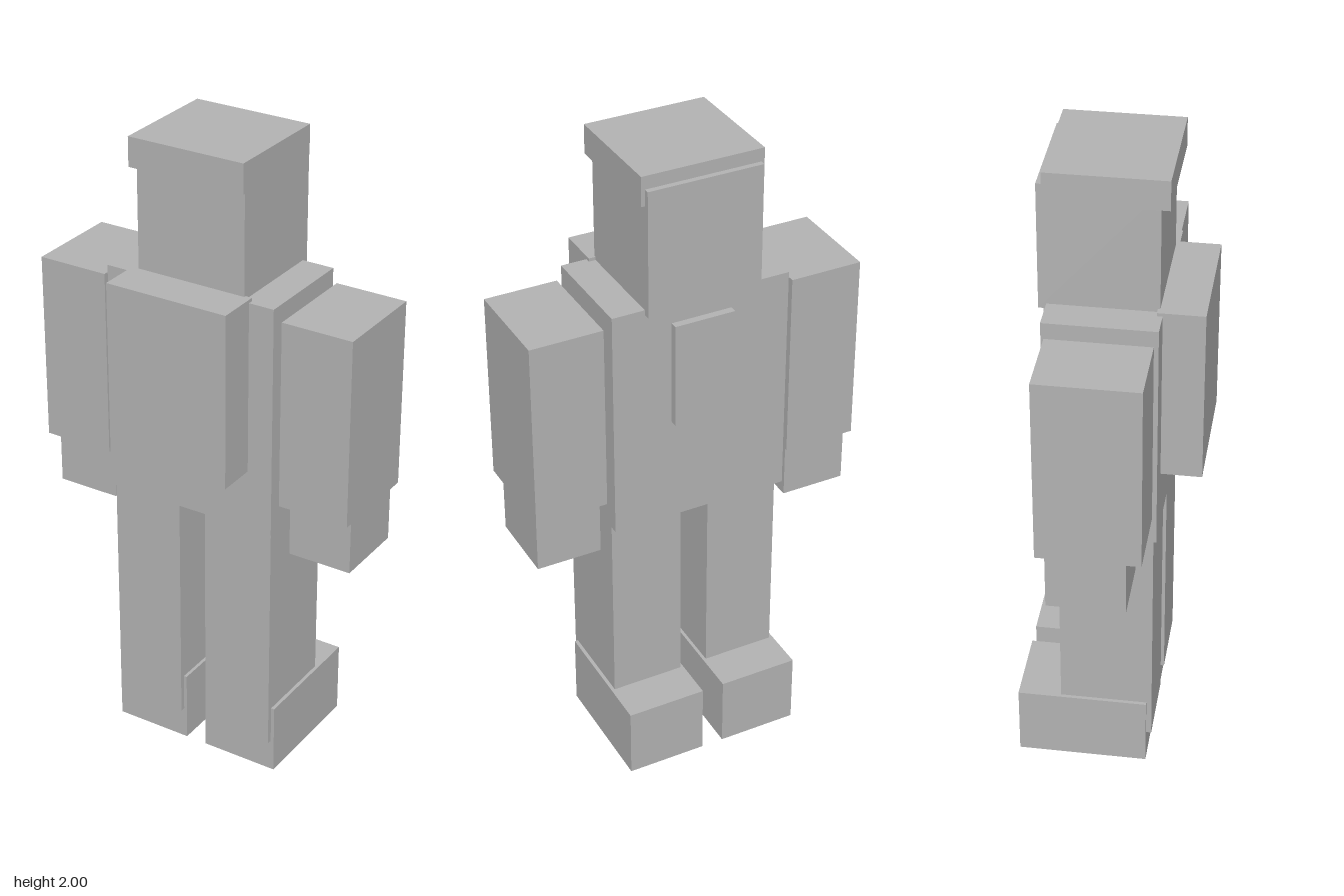
import * as THREE from 'three';

export function createModel() {
  const model = new THREE.Group();
  model.name = 'blockFigure';
  const grey = new THREE.MeshStandardMaterial({ color: 0xb3b3b3 });
  grey.name = 'grey';

  // Box spanning the given [min, max] ranges
  function block(name, [x0, x1], [y0, y1], [z0, z1]) {
    const mesh = new THREE.Mesh(new THREE.BoxGeometry(x1 - x0, y1 - y0, z1 - z0), grey);
    mesh.position.set((x0 + x1) / 2, (y0 + y1) / 2, (z0 + z1) / 2);
    mesh.name = name;
    model.add(mesh);
  }

  // Mirrored pair; x range is given for the left side
  function pair(name, [x0, x1], y, z) {
    block('left' + name, [x0 - 0.002, x1 - 0.002], y, z);
    block('right' + name, [-x1 - 0.002, -x0 - 0.002], y, z);
  }

  // Head and flat cap
  block('cap', [-0.188, 0.186], [1.91, 2], [-0.183, 0.168]);
  block('head', [-0.178, 0.175], [1.57, 1.96], [-0.2, 0.142]);

  // Torso with chest pack and small back plate
  block('torso', [-0.28, 0.276], [0.86, 1.585], [-0.177, 0.151]);
  block('chestPack', [-0.2, 0.196], [1.05, 1.595], [0.135, 0.272]);
  block('backPlate', [-0.096, 0.092], [1.19, 1.52], [-0.2, -0.16]);

  // Limbs
  pair('Arm', [0.2975, 0.522], [0.96, 1.547], [-0.165, 0.14]);
  pair('Hand', [0.309, 0.511], [0.78, 0.97], [-0.138, 0.095]);
  pair('Leg', [0.045, 0.273], [0.105, 0.87], [-0.14, 0.142]);
  pair('Foot', [0.035, 0.284], [0, 0.228], [-0.272, 0.126]);

  return model;
}
